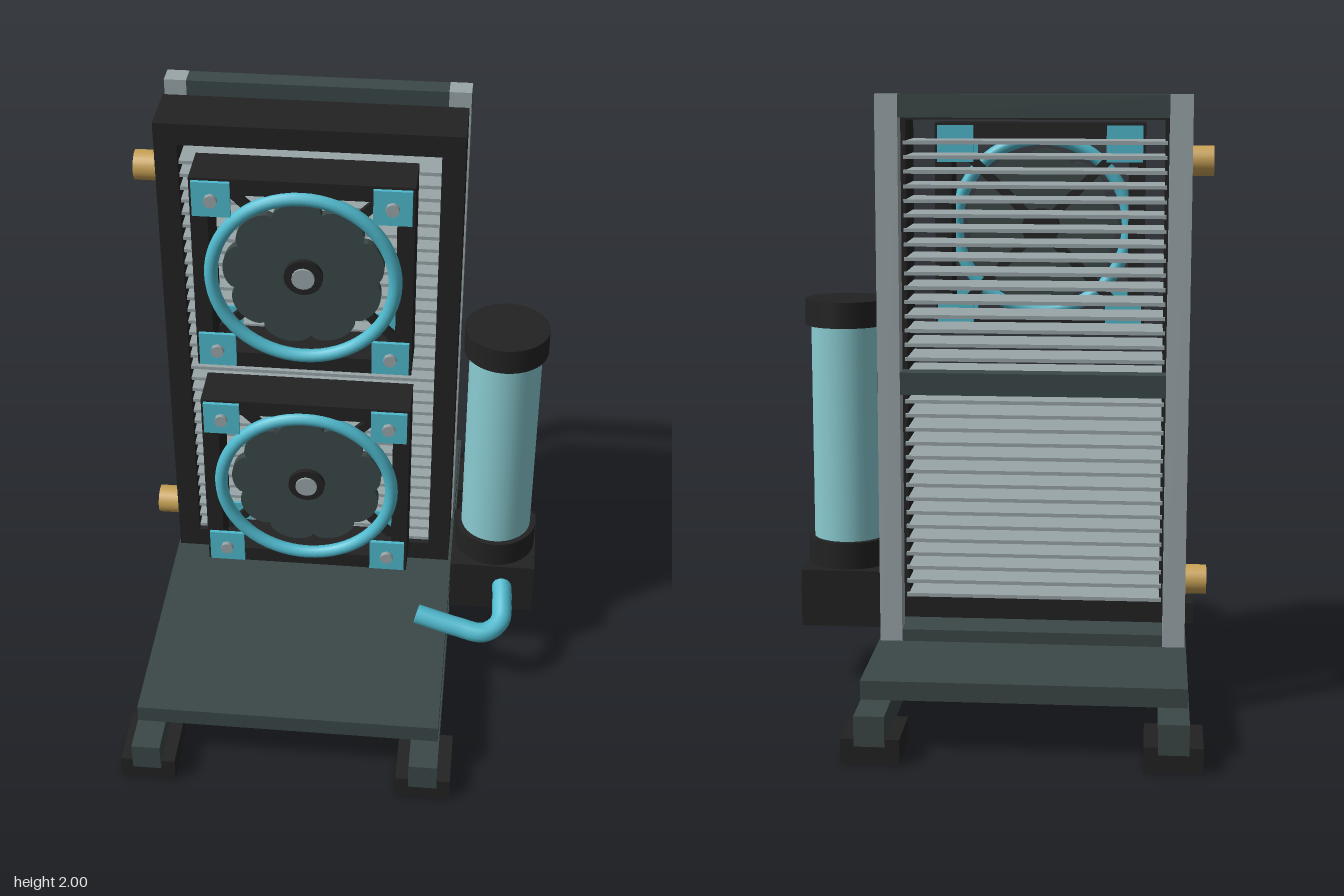
import * as THREE from 'three';

const mat = (name, color, side = THREE.FrontSide) => {
  const m = new THREE.MeshStandardMaterial({ color, side });
  m.name = name;
  return m;
};

export function createModel() {
  const black = mat('black', 0x222222);
  const slate = mat('slate', 0x3b4747);
  const silver = mat('silver', 0x9aa6a9);
  const cyan = mat('cyan', 0x4fbace, THREE.DoubleSide);
  const glass = mat('pale aqua', 0x8accd2);
  const brass = mat('brass', 0xc8a256);
  const root = new THREE.Group();
  const CX = -0.117; // centre line of stand and radiator

  const add = (name, geo, m, x = 0, y = 0, z = 0, parent = root) => {
    const mesh = new THREE.Mesh(geo, m);
    mesh.name = name;
    mesh.position.set(x, y, z);
    parent.add(mesh);
    return mesh;
  };
  // box given by its limits
  const box = (name, m, x0, x1, y0, y1, z0, z1, parent = root) =>
    add(name, new THREE.BoxGeometry(x1 - x0, y1 - y0, z1 - z0), m,
      (x0 + x1) / 2, (y0 + y1) / 2, (z0 + z1) / 2, parent);
  // cylinder along z
  const disc = (name, m, r, z0, z1, x, y, parent, sides = 32) => {
    const g = new THREE.CylinderGeometry(r, r, z1 - z0, sides).rotateX(Math.PI / 2);
    return add(name, g, m, x, y, (z0 + z1) / 2, parent);
  };
  // rectangular ring extruded along z, centred on its origin
  const frameGeo = (w, h, bx, by, depth) => {
    const rect = (T, a, b) => new T([[-a, -b], [a, -b], [a, b], [-a, b]]
      .map(p => new THREE.Vector2(...p)));
    const s = rect(THREE.Shape, w / 2, h / 2);
    s.holes.push(rect(THREE.Path, w / 2 - bx, h / 2 - by));
    return new THREE.ExtrudeGeometry(s, { depth, bevelEnabled: false });
  };

  // base: feet, rails, plate
  for (const sx of [-1, 1]) {
    const x = CX + sx * 0.458;
    for (const sz of [-1, 1]) {
      add('foot', new THREE.BoxGeometry(0.18, 0.08, 0.206), black, x, 0.04, sz * 0.755);
    }
    box('baseRail', slate, x - 0.047, x + 0.047, 0.062, 0.158, -0.874, 0.874);
    // rear upright
    const px = CX + sx * 0.459;
    box('upright', silver, px - 0.036, px + 0.036, 0.158, 2, -0.367, -0.297);
  }
  box('basePlate', slate, -0.617, 0.383, 0.174, 0.234, -0.77, 0.77);
  for (const y of [0.237, 1.087, 1.963]) {
    box('crossBeam', slate, CX - 0.496, CX + 0.496, y - 0.036, y + 0.036, -0.366, -0.298);
  }

  // radiator with fins and ports
  const radiator = new THREE.Group();
  radiator.name = 'radiator';
  root.add(radiator);
  add('radiatorFrame', frameGeo(0.975, 1.72, 0.073, 0.073, 0.194), black, CX + 0.003, 1.13, -0.215, radiator);
  const fins = 33;
  for (let i = 0; i < fins; i++) {
    const y = 0.35 + (i / (fins - 1)) * 1.495;
    box('fin', silver, -0.535, 0.308, y - 0.006, y + 0.006, -0.228, -0.04, radiator);
  }
  for (const y of [0.395, 1.785]) {
    add('port', new THREE.CylinderGeometry(0.049, 0.049, 0.1, 28).rotateZ(Math.PI / 2),
      brass, -0.635, y, -0.12, radiator);
  }

  // scalloped fan rotor outline
  const pts = [];
  for (let i = 0; i < 144; i++) {
    const a = (i / 144) * Math.PI * 2;
    const r = 0.225 + 0.034 * Math.sqrt(Math.abs(Math.sin(4.5 * a + 0.4)));
    pts.push(new THREE.Vector2(r * Math.cos(a), r * Math.sin(a)));
  }
  const rotorGeo = new THREE.ExtrudeGeometry(new THREE.Shape(pts), { depth: 0.03, bevelEnabled: false });

  // fans
  for (const y of [0.71, 1.553]) {
    const fan = new THREE.Group();
    fan.name = 'fan';
    fan.position.set(CX, y, 0);
    root.add(fan);
    add('fanFrame', frameGeo(0.697, 0.697, 0.055, 0.055, 0.154), black, 0, 0, -0.006, fan);
    add('fanRing', new THREE.TorusGeometry(0.292, 0.022, 12, 64), cyan, 0, 0, 0.148, fan);
    add('rotor', rotorGeo, slate, 0, 0, 0.095, fan);
    disc('hub', black, 0.062, 0.03, 0.142, 0, 0, fan);
    disc('hubCap', silver, 0.037, 0.142, 0.15, 0, 0, fan, 16);
    for (const s of [-1, 1]) {
      add('strut', new THREE.BoxGeometry(0.84, 0.03, 0.02), black, 0, 0, 0.03, fan)
        .rotation.z = s * Math.PI / 4;
      for (const t of [-1, 1]) {
        const x = s * 0.28, v = t * 0.28;
        box('cornerPad', cyan, x - 0.06, x + 0.06, v - 0.06, v + 0.06, 0.148, 0.16, fan);
        box('rearPad', cyan, x - 0.06, x + 0.06, v - 0.06, v + 0.06, -0.014, -0.006, fan);
        disc('screw', silver, 0.022, 0.16, 0.176, x, v, fan, 8);
      }
    }
  }

  // reservoir and pump
  const RX = 0.535;
  const tank = (name, m, r, y0, y1) =>
    add(name, new THREE.CylinderGeometry(r, r, y1 - y0, 40), m, RX, (y0 + y1) / 2, 0.002);
  tank('reservoirTube', glass, 0.12, 0.495, 1.23);
  tank('reservoirTopCap', black, 0.139, 1.228, 1.315);
  tank('reservoirBottomCap', black, 0.139, 0.405, 0.497);
  box('pump', black, 0.387, 0.679, 0.21, 0.405, -0.149, 0.149);

  // outlet hose
  const path = new THREE.CatmullRomCurve3([
    [0.565, 0.33, 0.1], [0.573, 0.3, 0.2], [0.568, 0.268, 0.28], [0.515, 0.25, 0.32],
    [0.42, 0.262, 0.312], [0.28, 0.295, 0.296],
  ].map(p => new THREE.Vector3(...p)));
  add('hose', new THREE.TubeGeometry(path, 40, 0.034, 14), cyan);

  return root;
}
